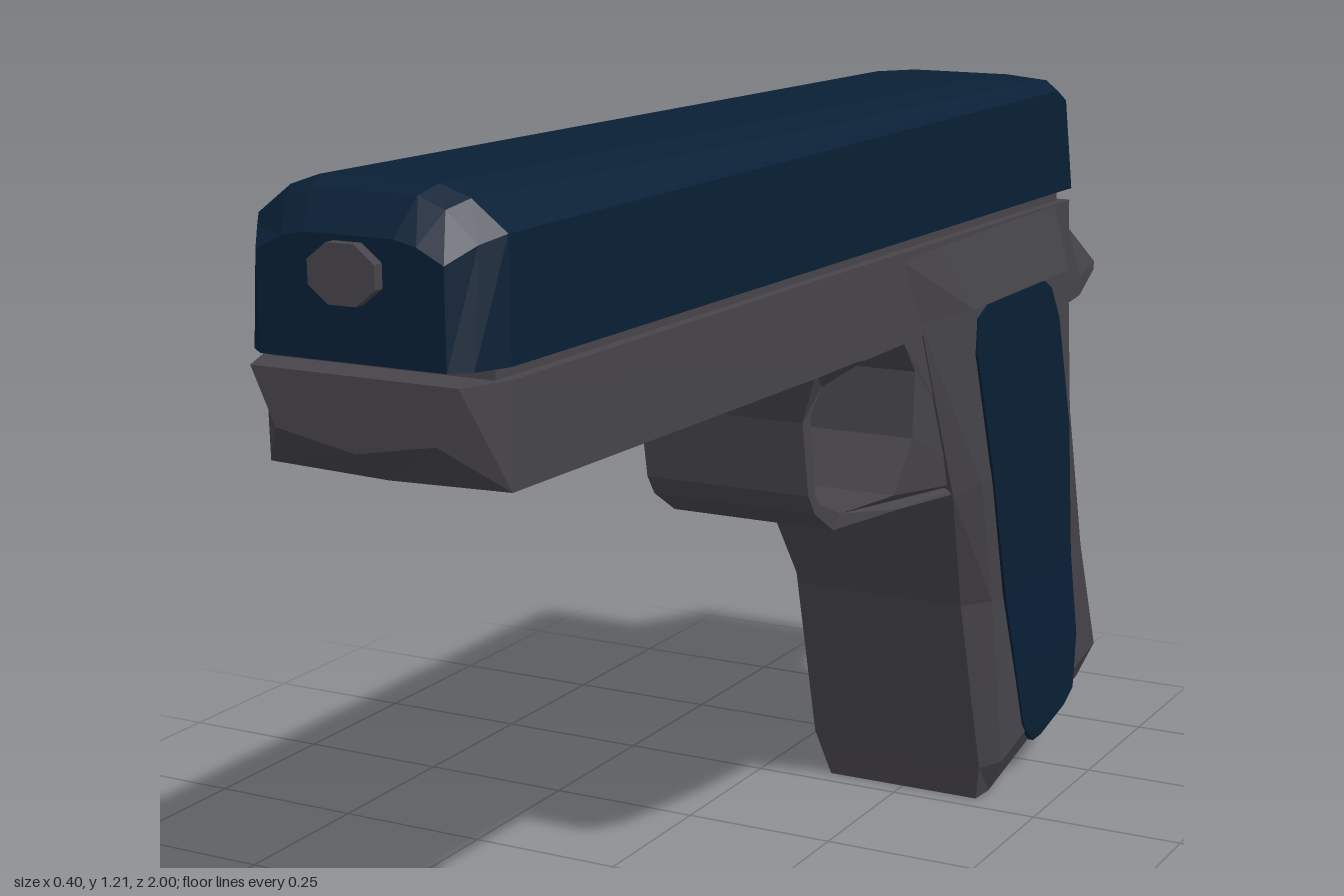
import * as THREE from 'three';

const mat = (name, color) => {
  const m = new THREE.MeshStandardMaterial({ color, flatShading: true });
  m.name = name;
  return m;
};

// Closed loft through rings of equal point count; winding fixed by signed volume.
function loft(rings) {
  const tris = [];
  const n = rings[0].length;
  for (let i = 0; i < rings.length - 1; i++) {
    for (let j = 0; j < n; j++) {
      const k = (j + 1) % n;
      const a = rings[i][j], b = rings[i][k], c = rings[i + 1][k], d = rings[i + 1][j];
      tris.push([a, b, c], [a, c, d]);
    }
  }
  const first = rings[0], last = rings[rings.length - 1];
  for (let j = 1; j < n - 1; j++) {
    tris.push([first[0], first[j + 1], first[j]], [last[0], last[j], last[j + 1]]);
  }
  const va = new THREE.Vector3(), vb = new THREE.Vector3(), vc = new THREE.Vector3();
  let volume = 0;
  for (const [a, b, c] of tris) {
    volume += va.set(...a).dot(vb.set(...b).cross(vc.set(...c)));
  }
  const pos = tris.flatMap(([a, b, c]) => (volume < 0 ? [a, c, b] : [a, b, c])).flat();
  const g = new THREE.BufferGeometry();
  g.setAttribute('position', new THREE.Float32BufferAttribute(pos, 3));
  g.computeVertexNormals();
  return g;
}

// Mirrors a half section (x >= 0) into a full ring.
const mirrorRing = (half) => [
  ...half,
  ...half.filter((p) => p[0] > 0).reverse().map(([x, y, z]) => [-x, y, z]),
];

export function createModel() {
  const group = new THREE.Group();
  const grey = mat('dark grey', 0x47454a);
  const blue = mat('navy blue', 0x0a2036);
  const add = (name, geometry, material) => {
    const mesh = new THREE.Mesh(geometry, material);
    mesh.name = name;
    group.add(mesh);
    return mesh;
  };

  // Slide: z at bottom, z at top, bottom y, shoulder y, top y, half width, roundness of the top
  const slideRings = [
    [0.985, 0.985, 1.005, 1.125, 1.15, 0.127, 0.72],
    [0.965, 0.95, 1.005, 1.145, 1.195, 0.15, 0.72],
    [0.92, 0.92, 1.005, 1.155, 1.205, 0.17, 0.72],
    [-0.725, -0.725, 0.985, 1.15, 1.172, 0.17, 0.88],
    [-0.803, -0.768, 0.983, 1.13, 1.142, 0.168, 0.88],
  ].map(([zb, zt, yb, ys, yt, w, r]) => mirrorRing([
    [w, yb, zb], [w, ys, zt], [w * r, ys + (yt - ys) * 0.72, zt], [w * 0.48, yt, zt],
  ]));
  add('slide', loft(slideRings), blue);

  // Muzzle plug
  const muzzle = new THREE.CylinderGeometry(1, 1, 0.04, 8);
  muzzle.rotateY(Math.PI / 8).rotateX(Math.PI / 2).scale(0.049, 0.038, 1);
  add('muzzle', muzzle, grey).position.set(0, 1.108, 0.98);

  // Frame: z, top y, top half width, lower edge y, lower half width, keel y
  const frameRings = [
    [0.985, 0.99, 0.142, 0.92, 0.11, 0.9],
    [0.92, 0.99, 0.17, 0.86, 0.168, 0.855],
    [0.15, 0.98, 0.17, 0.845, 0.17, 0.845],
    [-0.2, 0.975, 0.17, 0.842, 0.17, 0.842],
    [-0.79, 0.966, 0.17, 0.8, 0.17, 0.8],
  ].map(([z, yt, wt, yl, wl, yk]) => mirrorRing([[wt, yt, z], [wl, yl, z], [0, yk, z]]));
  add('frame', loft(frameRings), grey);

  // Narrow rail that closes the seam between slide and frame
  const railRings = [[0.93, 0.97], [-0.77, 0.95]].map(([z, y]) => mirrorRing([
    [0.155, y, z], [0.155, y + 0.05, z],
  ]));
  add('seamRail', loft(railRings), grey);

  // Tail above the hand: z at top, z at bottom, top y, top half width, bottom y, bottom half width
  const tailRings = [
    [-0.77, -0.77, 0.966, 0.165, 0.79, 0.17],
    [-0.835, -0.85, 0.92, 0.145, 0.797, 0.17],
    [-0.975, -0.975, 0.877, 0.095, 0.82, 0.147],
    [-0.995, -1.0, 0.866, 0.09, 0.824, 0.105],
  ].map(([zt, zb, yt, wt, yb, wb]) => mirrorRing([
    [wt, yt, zt], [wb, yb + (yt - yb) * 0.25, zb], [wb, yb, zb],
  ]));
  add('tail', loft(tailRings), grey);

  // Guard loop, drawn as z,y and extruded across x; narrower toward the front
  const toPoints = (list) => list.map(([z, y]) => new THREE.Vector2(z, y));
  const guardShape = new THREE.Shape(toPoints([
    [0.15, 0.86], [0.15, 0.845], [0.11, 0.77], [0.09, 0.66], [0.07, 0.63], [0.01, 0.592],
    [-0.16, 0.588], [-0.34, 0.57], [-0.45, 0.57], [-0.45, 0.86],
  ]));
  // The hole runs the opposite way round, so its walls face inward
  guardShape.holes.push(new THREE.Path(toPoints([
    [-0.145, 0.84], [-0.19, 0.79], [-0.185, 0.69], [-0.14, 0.612], [-0.01, 0.612],
    [0.055, 0.64], [0.07, 0.66], [0.085, 0.775], [0.05, 0.81], [-0.01, 0.84],
  ])));
  const guard = new THREE.ExtrudeGeometry(guardShape, { depth: 1, bevelEnabled: false });
  const gp = guard.attributes.position;
  for (let i = 0; i < gp.count; i++) {
    const z = gp.getX(i), y = gp.getY(i);
    const t = y > 0.82 ? 1 : THREE.MathUtils.clamp(-z / 0.2, 0, 1);
    gp.setXYZ(i, (0.5 - gp.getZ(i)) * 2 * (0.13 + 0.038 * t), y, z);
  }
  guard.computeVertexNormals();
  add('guardLoop', guard, grey);

  // Grip: front z,y; back z,y; half width; chamfer depth and inset at front and back
  const gripRings = [
    [-0.13, 0.965, -0.79, 0.965, 0.171, 0.14, 0.002, 0.07, 0.002],
    [-0.2, 0.86, -0.8, 0.86, 0.195, 0.14, 0.025, 0.07, 0.025],
    [-0.33, 0.57, -0.805, 0.63, 0.193, 0.06, 0.023, 0.045, 0.045],
    [-0.435, 0.36, -0.912, 0.36, 0.175, 0.05, 0.033, 0.035, 0.06],
    [-0.52, 0.06, -1.0, 0.16, 0.171, 0.03, 0.027, 0.03, 0.05],
    [-0.535, 0.0, -0.992, 0.098, 0.143, 0.03, 0.01, 0.03, 0.04],
  ].map(([zf, yf, zb, yb, w, cf, inF, cb, inB]) => {
    const yAt = (z) => yf + (yb - yf) * (z - zf) / (zb - zf);
    return mirrorRing([[w - inF, zf], [w, zf - cf], [w, zb + cb], [w - inB, zb]]
      .map(([x, z]) => [x, yAt(z), z]));
  });
  add('grip', loft(gripRings), grey);

  // Base plate under the grip
  const base = add('basePlate', new THREE.BoxGeometry(0.24, 0.02, 0.36), grey);
  base.position.set(0, 0.046, -0.76);
  base.rotation.x = 0.2;

  // Side panels following the grip surface: y, front z, back z, half width
  const panelRows = [
    [0.86, -0.39, -0.62, 0.198], [0.845, -0.353, -0.65, 0.198], [0.79, -0.35, -0.688, 0.198],
    [0.6, -0.42, -0.747, 0.198], [0.36, -0.53, -0.819, 0.18], [0.2, -0.598, -0.868, 0.176],
    [0.105, -0.636, -0.86, 0.175], [0.085, -0.655, -0.82, 0.175], [0.06, -0.69, -0.725, 0.171],
  ];
  const panelRings = (side) => panelRows.map(([y, zf, zb, w]) => [
    [side * w, y, zf], [side * w, y, zb], [side * (w - 0.009), y, zb], [side * (w - 0.009), y, zf],
  ]);
  add('leftGripPanel', loft(panelRings(1)), blue);
  add('rightGripPanel', loft(panelRings(-1)), blue);

  return group;
}
